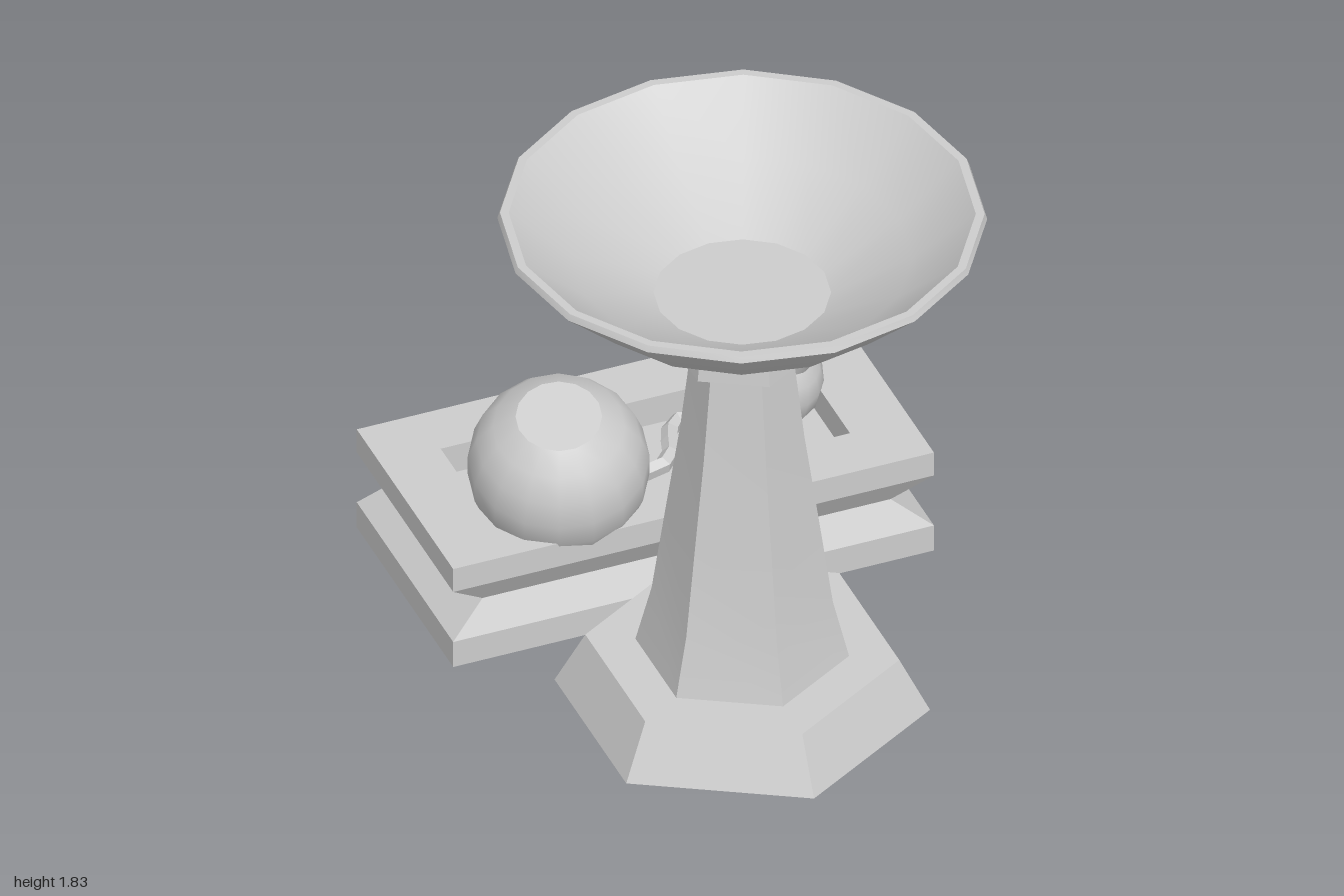
import * as THREE from 'three';
import { toCreasedNormals } from 'three/addons/utils/BufferGeometryUtils.js';

const stone = new THREE.MeshStandardMaterial({ color: 0xcccccc });
stone.name = 'pale grey stone';

function add(parent, name, geometry, crease = 0.1) {
  const mesh = new THREE.Mesh(toCreasedNormals(geometry, crease), stone);
  mesh.name = name;
  parent.add(mesh);
  return mesh;
}

// Profile of [radius, height] pairs turned around the upright axis
const turned = (profile, sides) =>
  new THREE.LatheGeometry(profile.map(([r, y]) => new THREE.Vector2(r, y)), sides);

// Stack of rectangles [halfX, halfZ, y], closed at both ends
function rectangleLoft(rings) {
  const pos = [], idx = [];
  for (const [x, z, y] of rings) pos.push(-x, y, z, x, y, z, x, y, -z, -x, y, -z);
  for (let i = 0; i < rings.length - 1; i++) {
    for (let k = 0; k < 4; k++) {
      const a = i * 4 + k, b = i * 4 + (k + 1) % 4;
      idx.push(a, b, b + 4, a, b + 4, a + 4);
    }
  }
  const t = (rings.length - 1) * 4;
  idx.push(0, 2, 1, 0, 3, 2, t, t + 1, t + 2, t, t + 2, t + 3);
  const g = new THREE.BufferGeometry();
  g.setAttribute('position', new THREE.Float32BufferAttribute(pos, 3));
  g.setIndex(idx);
  return g;
}

function makePedestal() {
  const g = new THREE.Group();
  g.name = 'pedestal';
  g.position.set(-0.03, 0, 0.247);
  // Six-sided foot, tapering shaft and collar
  add(g, 'foot', turned([[0, 0], [0.58, 0], [0.485, 0.18], [0, 0.18]], 6));
  add(g, 'shaft', turned([[0.33, 0.18], [0.28, 0.38], [0.235, 0.7], [0.192, 1.0], [0.155, 1.33]], 6), 0.2);
  add(g, 'collar', turned([[0, 1.32], [0.223, 1.32], [0.2, 1.49], [0, 1.49]], 6));
  // Wide bowl
  add(g, 'bowl', turned([[0, 1.485], [0.287, 1.49], [0.55, 1.62], [0.75, 1.81], [0.742, 1.83],
    [0.715, 1.83], [0.52, 1.662], [0.272, 1.53], [0, 1.53]], 16), 0.42);
  return g;
}

function makeSkull() {
  const g = new THREE.Group();
  g.name = 'skull';
  g.position.set(-0.35, 0.485, -0.455);
  g.rotation.set(-0.3, 2.76, 0, 'YXZ');
  const R = 0.282;

  // Cranium with a flat crown, pressed in behind the face
  const profile = [[0, -R * 0.88]];
  for (let i = 0; i <= 7; i++) {
    const a = 2.65 - (2.65 - 0.49) * i / 7;
    profile.push([R * Math.sin(a), R * Math.cos(a)]);
  }
  profile.push([0, R * Math.cos(0.49)]);
  const cranium = turned(profile, 16);
  const p = cranium.attributes.position;
  for (let i = 0; i < p.count; i++) {
    if (p.getY(i) < 0.09 && p.getZ(i) > 0.2) p.setZ(i, 0.2);
  }
  add(g, 'cranium', cranium, 0.55);

  // Face plate: brow, cheeks and slotted teeth
  const face = new THREE.Shape();
  face.moveTo(-0.2, 0.1);
  face.lineTo(-0.2, -0.06);
  face.lineTo(-0.13, -0.13);
  face.lineTo(-0.12, -0.27);
  for (const x of [-0.075, -0.025, 0.025, 0.075]) {
    face.lineTo(x - 0.008, -0.27);
    face.lineTo(x - 0.008, -0.17);
    face.lineTo(x + 0.008, -0.17);
    face.lineTo(x + 0.008, -0.27);
  }
  face.lineTo(0.12, -0.27);
  face.lineTo(0.13, -0.13);
  face.lineTo(0.2, -0.06);
  for (let i = 0; i <= 8; i++) face.lineTo(0.2 - 0.05 * i, 0.1);
  // Eye sockets and nose opening
  for (const s of [-1, 1]) {
    const eye = new THREE.Path();
    for (let i = 0; i < 8; i++) {
      const a = i * Math.PI / 4 + 0.39;
      const x = s * 0.098 + 0.06 * Math.cos(a), y = -0.005 + 0.05 * Math.sin(a);
      if (i) eye.lineTo(x, y); else eye.moveTo(x, y);
    }
    eye.closePath();
    face.holes.push(eye);
  }
  face.holes.push(new THREE.Path([[0, -0.05], [-0.035, -0.12], [0.035, -0.12]]
    .map(([x, y]) => new THREE.Vector2(x, y))));
  const plate = new THREE.ExtrudeGeometry(face, { depth: 0.07, bevelEnabled: false });
  // Wrap the plate round the cranium
  const q = plate.attributes.position;
  for (let i = 0; i < q.count; i++) {
    const x = q.getX(i), y = q.getY(i), h = y > 0 ? y : y * 0.35;
    q.setZ(i, q.getZ(i) - 0.07 + Math.sqrt(R * R - x * x - h * h));
  }
  add(g, 'face', plate, 0.5);
  return g;
}

function makeVase() {
  const g = new THREE.Group();
  g.name = 'vase';
  g.position.set(0.41, 0.495, -0.61);
  g.quaternion.setFromUnitVectors(new THREE.Vector3(0, 1, 0),
    new THREE.Vector3(0.065, 0.225, 0.13).normalize());
  add(g, 'vaseBody', turned([[0, -0.21], [0.075, -0.21], [0.125, -0.13], [0.157, -0.05], [0.164, 0.02],
    [0.148, 0.08], [0.11, 0.135], [0.07, 0.16], [0.064, 0.235], [0.082, 0.245], [0.082, 0.268],
    [0.072, 0.28], [0.058, 0.27], [0.052, 0.16], [0.1, 0.08], [0.1, -0.12], [0, -0.17]], 16), 0.62);
  return g;
}

export function createModel() {
  const model = new THREE.Group();
  model.name = 'offeringBowlAndTray';
  model.add(makePedestal());

  // Waisted plinth with a sunken top
  const tray = add(model, 'tray', rectangleLoft([[0.795, 0.39, 0], [0.795, 0.39, 0.095],
    [0.675, 0.333, 0.19], [0.795, 0.39, 0.285], [0.795, 0.39, 0.372],
    [0.595, 0.2, 0.372], [0.595, 0.2, 0.27]]));
  tray.position.z = -0.61;

  model.add(makeSkull(), makeVase());

  // Curled band lying in the tray
  const path = [[-0.13, -0.57], [-0.06, -0.525], [0.01, -0.515], [0.07, -0.57], [0.09, -0.64], [0.14, -0.705],
    [0.2, -0.69], [0.235, -0.62], [0.23, -0.54], [0.17, -0.48], [0.08, -0.45]];
  const curve = new THREE.CatmullRomCurve3(path.map(([x, z], i) =>
    new THREE.Vector3(x, 0.315 + 0.03 * Math.sin(i * 0.35), z)));
  add(model, 'curledBand', new THREE.TubeGeometry(curve, 14, 0.028, 5));
  return model;
}
